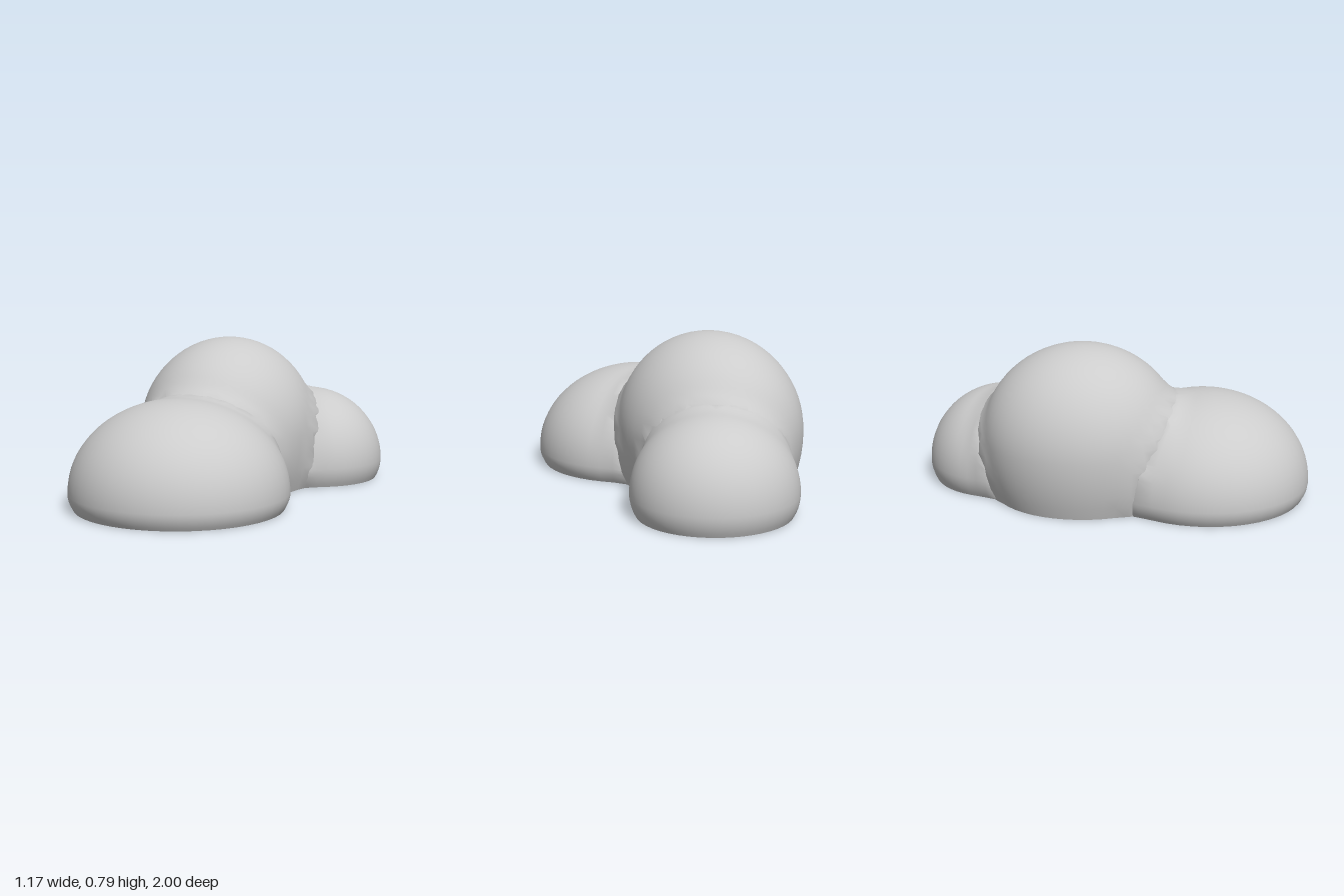
import * as THREE from 'three';
import { mergeVertices, toCreasedNormals } from 'three/addons/utils/BufferGeometryUtils.js';

// Each lobe: centre (x, waist height y, z), radii, and base radius as a share of the waist
const lobes = [
  { name: 'frontLobe', c: [-0.045, 0.08, 0.46], r: [0.545, 0.452, 0.54], base: 0.95 },
  { name: 'middleLobe', c: [-0.095, 0.3, -0.165], r: [0.455, 0.49, 0.515], base: 0.88 },
  { name: 'rearLobe', c: [0.175, 0.1, -0.6], r: [0.41, 0.392, 0.4], base: 0.93 },
];
const BLEND = 0.1;

// Width of a lobe at height y, as a share of its waist
function widthAt({ c, r, base }, y) {
  if (y < c[1]) return 1 - (1 - base) * (1 - y / c[1]) ** 2;
  return Math.sqrt(Math.max(0, 1 - ((y - c[1]) / r[1]) ** 2));
}

// Approximate distance from a point to a lobe's surface
function distanceTo({ c, r, base }, p) {
  const dy = p.y - c[1];
  const lowRadius = c[1] / Math.sqrt(1 - base * base);
  const q = Math.hypot((p.x - c[0]) / r[0], dy / (dy < 0 ? lowRadius : r[1]), (p.z - c[2]) / r[2]);
  return (q - 1) * (r[0] + r[1] + r[2]) / 3;
}

function lobeGeometry(lobe) {
  // Profile: flat underside, rounded lower wall, dome
  const { c, r } = lobe;
  const profile = [new THREE.Vector2(0, 0), new THREE.Vector2(0.5 * lobe.base, 0)];
  for (let i = 0; i < 5; i++) {
    const y = c[1] * i / 5;
    profile.push(new THREE.Vector2(widthAt(lobe, y), y));
  }
  for (let i = 0; i <= 18; i++) {
    const a = i / 18 * Math.PI / 2;
    profile.push(new THREE.Vector2(i === 18 ? 0 : Math.cos(a), c[1] + r[1] * Math.sin(a)));
  }
  let geo = new THREE.LatheGeometry(profile, 48);
  geo.scale(r[0], 1, r[2]);
  geo.translate(c[0], 0, c[2]);

  // Swell the skin where lobes meet so the joints become soft fillets
  const pos = geo.attributes.position;
  const centre = new THREE.Vector3(...c);
  const p = new THREE.Vector3(), dir = new THREE.Vector3();
  for (let i = 0; i < pos.count; i++) {
    p.fromBufferAttribute(pos, i);
    if (p.y < 0.001 && Math.hypot((p.x - c[0]) / r[0], (p.z - c[2]) / r[2]) < lobe.base - 0.01) continue;
    let push = 0;
    for (const other of lobes) {
      if (other === lobe) continue;
      push += Math.max(BLEND - Math.abs(distanceTo(other, p)), 0) ** 2 / (3 * BLEND);
    }
    dir.subVectors(p, centre);
    if (p.y < c[1]) dir.y = 0;
    p.addScaledVector(dir.normalize(), push);
    pos.setXYZ(i, p.x, p.y, p.z);
  }
  geo.deleteAttribute('uv');
  geo.deleteAttribute('normal');
  geo = mergeVertices(geo, 1e-5);
  return toCreasedNormals(geo, 0.8);
}

export function createModel() {
  const model = new THREE.Group();
  model.name = 'lobedMound';
  const grey = new THREE.MeshStandardMaterial({ color: 0xcccccc });
  grey.name = 'light grey';
  for (const lobe of lobes) {
    const mesh = new THREE.Mesh(lobeGeometry(lobe), grey);
    mesh.name = lobe.name;
    model.add(mesh);
  }
  return model;
}
